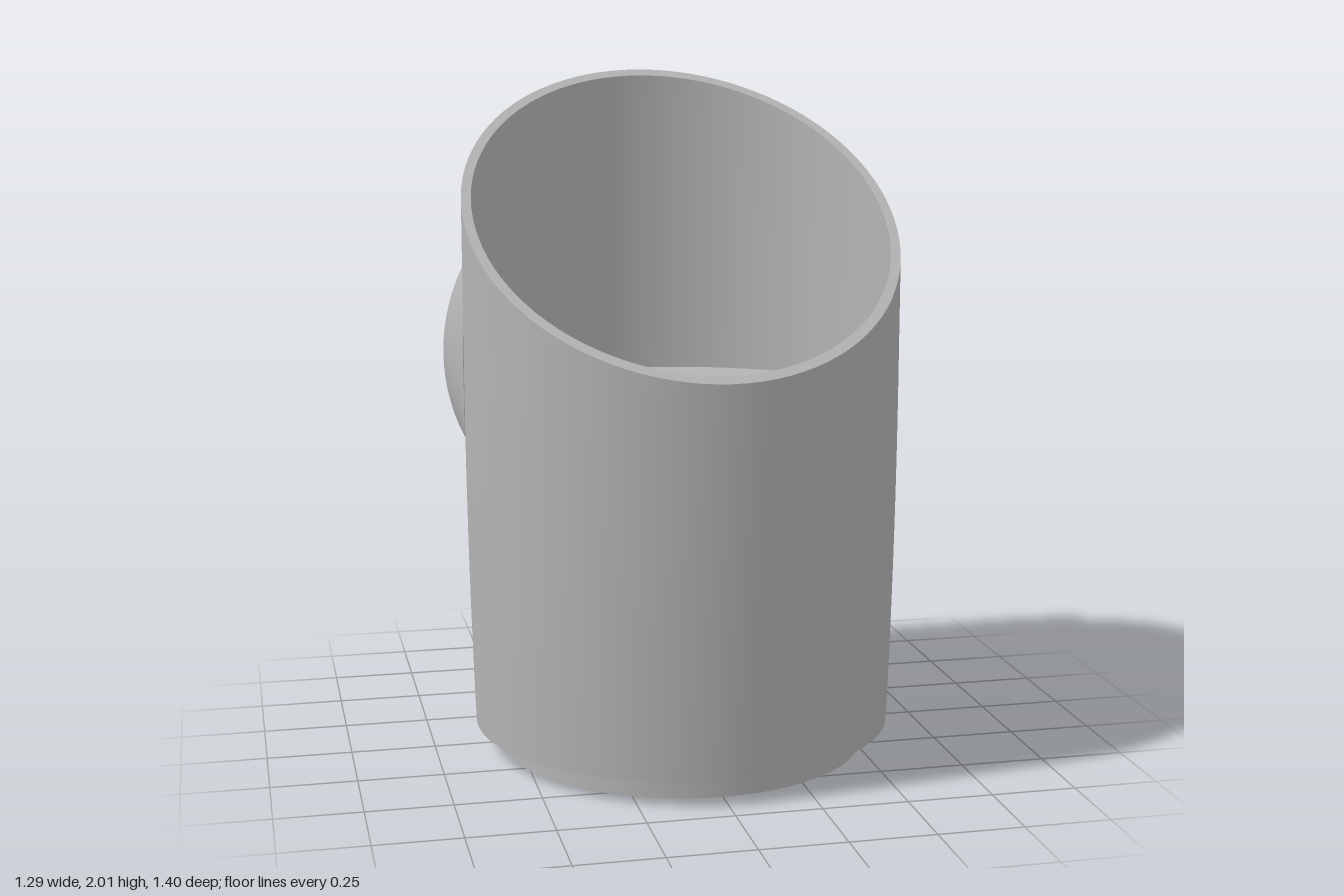
import * as THREE from 'three';

const CZ = 0.055;              // z of the body axis
const Y0 = 0.075;              // underside of the body
const FLOOR = 1.045;           // floor of the cup
const INNER = 0.615;           // inner radius of the cup
const PORT = { y: 1.092, z: -0.7, r: 0.627, inner: 0.583, depth: 0.05 };

// Gently swelling body radius
const radius = (y) => {
  const t = Math.min(1, Math.max(0, (y - Y0) / 1.05));
  return 0.625 + 0.019 * (1 - (1 - t) ** 2);
};
// Height of the slanted cut at depth z
const cut = (z) => 1.2 + (0.7 - z) * 0.625;
const smooth = (a, b, t) => a + (b - a) * t;

// Closed band: fn(angle, v) gives a point, v runs from 0 to 1
function band(fn, rows, segments = 96) {
  const pos = [], idx = [];
  for (let j = 0; j <= rows; j++)
    for (let i = 0; i < segments; i++) pos.push(...fn((i / segments) * Math.PI * 2, j / rows));
  for (let j = 0; j < rows; j++)
    for (let i = 0; i < segments; i++) {
      const k = (i + 1) % segments;
      const a = j * segments + i, b = j * segments + k;
      const c = b + segments, d = a + segments;
      idx.push(a, b, c, a, c, d);
    }
  const g = new THREE.BufferGeometry();
  g.setAttribute('position', new THREE.Float32BufferAttribute(pos, 3));
  g.setIndex(idx);
  g.computeVertexNormals();
  return g;
}

// Point around the body axis
const around = (a, r, y) => [r * Math.sin(a), y, CZ + r * Math.cos(a)];
const onCut = (a, r) => around(a, r, cut(CZ + r * Math.cos(a)));
// Point around the rear port axis
const aroundPort = (a, r, z) => [r * Math.cos(a), PORT.y + r * Math.sin(a), z];

// Concave sweep from the port edge onto the body wall
function collarPoint(a, v) {
  const c = Math.cos(a), s = Math.sin(a);
  const back = (x, y) => {
    const R = radius(y) + 0.002;
    return CZ - Math.sqrt(Math.max(0, R * R - x * x));
  };
  const p0 = aroundPort(a, PORT.r, PORT.z);
  const p1 = [p0[0], p0[1], back(p0[0], p0[1])];
  const y2 = PORT.y + s * (s > 0 ? 0.9 : 0.93);
  const x2 = radius(y2) * c;
  const p2 = [x2, y2, back(x2, y2)];
  return p0.map((_, i) => (1 - v) ** 2 * p0[i] + 2 * v * (1 - v) * p1[i] + v * v * p2[i]);
}

export function createModel() {
  const group = new THREE.Group();
  const grey = new THREE.MeshStandardMaterial({ color: 0xb4b4b4, side: THREE.DoubleSide });
  grey.name = 'grey';
  const add = (name, geometry) => {
    const mesh = new THREE.Mesh(geometry, grey);
    mesh.name = name;
    group.add(mesh);
    return mesh;
  };

  // Foot
  add('foot', new THREE.CylinderGeometry(0.55, 0.55, Y0, 64)).position.set(0, Y0 / 2, CZ - 0.003);

  // Body with slanted mouth
  const top = radius(2);
  add('bodyWall', band((a, v) => {
    const y = smooth(Y0, onCut(a, top)[1], v);
    return around(a, radius(y), y);
  }, 20));
  add('bodyUnderside', band((a, v) => around(a, smooth(0.5, radius(Y0), v), Y0), 1));
  add('mouthRim', band((a, v) => onCut(a, smooth(top, INNER, v)), 1));
  add('cupWall', band((a, v) => around(a, INNER, smooth(onCut(a, INNER)[1], FLOOR, v)), 4));
  const floor = add('cupFloor', new THREE.CircleGeometry(INNER, 96));
  floor.rotation.x = -Math.PI / 2;
  floor.position.set(0, FLOOR, CZ);

  // Rear port
  const recess = PORT.z + PORT.depth;
  add('portCollar', band(collarPoint, 20));
  add('portRim', band((a, v) => aroundPort(a, smooth(PORT.inner, PORT.r, v), PORT.z), 1));
  add('portWall', band((a, v) => aroundPort(a, PORT.inner, smooth(recess, PORT.z, v)), 1));
  const disc = add('portDisc', new THREE.CircleGeometry(PORT.inner, 96));
  disc.rotation.y = Math.PI;
  disc.position.set(0, PORT.y, recess);

  return group;
}
